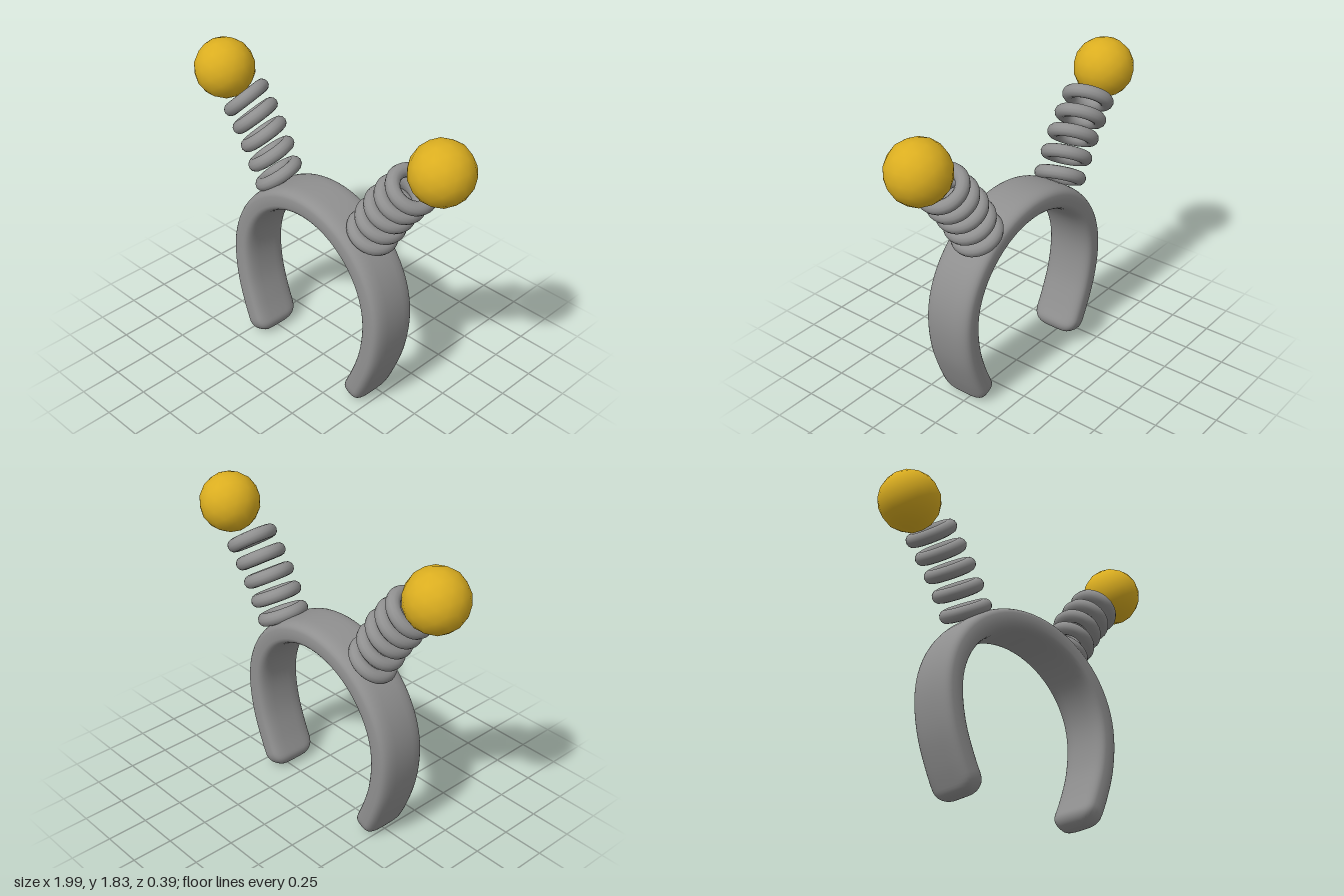
import * as THREE from 'three';

const grey = new THREE.MeshStandardMaterial({ color: 0x909090 });
grey.name = 'band grey';
const yellow = new THREE.MeshStandardMaterial({ color: 0xdbae20 });
yellow.name = 'ball yellow';

// Rounded flat strip swept along a horseshoe curve, with rounded tips
function bandGeometry() {
  const cx = -0.02, cy = 0.575, r = 0.555;
  const leg = [[0.395, 0.02], [0.475, 0.2], [0.533, 0.38]];
  const path = leg.map(([x, y]) => [cx - x, y]);
  for (let k = 0; k <= 12; k++) {
    const a = Math.PI * (1 - k / 12);
    path.push([cx + r * Math.cos(a), cy + r * Math.sin(a)]);
  }
  leg.slice().reverse().forEach(([x, y]) => path.push([cx + x, y]));
  const curve = new THREE.CatmullRomCurve3(path.map(([x, y]) => new THREE.Vector3(x, y, 0)));
  curve.arcLengthDivisions = 600;
  const length = curve.getLength();

  const rings = 88, sides = 32, halfThick = 0.074, halfWide = 0.155;
  const round = (d, R) => (d >= R ? 1 : Math.sqrt(Math.max(0, 1 - (1 - d / R) ** 2)));
  const power = (v, p) => Math.sign(v) * Math.abs(v) ** p;
  const pos = [], index = [];
  for (let i = 0; i <= rings; i++) {
    const u = 0.5 - 0.5 * Math.cos(Math.PI * i / rings);
    const p = curve.getPointAt(u), t = curve.getTangentAt(u);
    const d = Math.min(u, 1 - u) * length;
    const thick = halfThick * round(d, 0.065);
    const wide = halfWide - 0.1 * (1 - round(d, 0.1));
    const zMid = 0.035 * p.x + 0.025 * (1.1 - p.y);
    for (let j = 0; j < sides; j++) {
      const a = (j / sides) * Math.PI * 2;
      const n = thick * power(Math.cos(a), 0.6);
      pos.push(p.x - t.y * n, p.y + t.x * n, zMid + wide * power(Math.sin(a), 0.55));
      if (i < rings) {
        const A = i * sides + j, B = i * sides + (j + 1) % sides;
        index.push(A, B, A + sides, B, B + sides, A + sides);
      }
    }
  }
  const g = new THREE.BufferGeometry();
  g.setAttribute('position', new THREE.Float32BufferAttribute(pos, 3));
  g.setIndex(index);
  g.computeVertexNormals();
  return g;
}

// Five separate tilted coils, spaced along a gently bent line
function makeSpring(name, points, z, leanStart, leanEnd, forward) {
  const spring = new THREE.Group();
  spring.name = name;
  const line = new THREE.CatmullRomCurve3(points.map(([x, y]) => new THREE.Vector3(x, y, z)));
  const coil = new THREE.TorusGeometry(0.113, 0.04, 12, 36);
  coil.rotateX(Math.PI / 2);
  for (let k = 0; k < 5; k++) {
    const m = new THREE.Mesh(coil, grey);
    m.name = 'coil' + (k + 1);
    m.position.copy(line.getPoint(k / 4));
    m.rotation.set(forward, 0, THREE.MathUtils.lerp(leanStart, leanEnd, k / 4), 'ZXY');
    spring.add(m);
  }
  return spring;
}

function makeBall(name, x, y, z) {
  const m = new THREE.Mesh(new THREE.IcosahedronGeometry(0.179, 2), yellow);
  m.name = name;
  m.position.set(x, y, z);
  return m;
}

export function createModel() {
  const group = new THREE.Group();
  group.name = 'antennaHeadband';

  const band = new THREE.Mesh(bandGeometry(), grey);
  band.name = 'headband';
  group.add(band);

  // Springs
  group.add(makeSpring('leftSpring', [[0.37, 1.10], [0.49, 1.305], [0.635, 1.49]], -0.015, -0.5, -0.62, 0));
  group.add(makeSpring('rightSpring', [[-0.39, 1.135], [-0.51, 1.35], [-0.65, 1.535]], -0.02, 0.6, 0.74, 0.2));

  // Balls
  group.add(makeBall('leftBall', 0.819, 1.663, -0.025));
  group.add(makeBall('rightBall', -0.819, 1.67, -0.01));
  return group;
}
